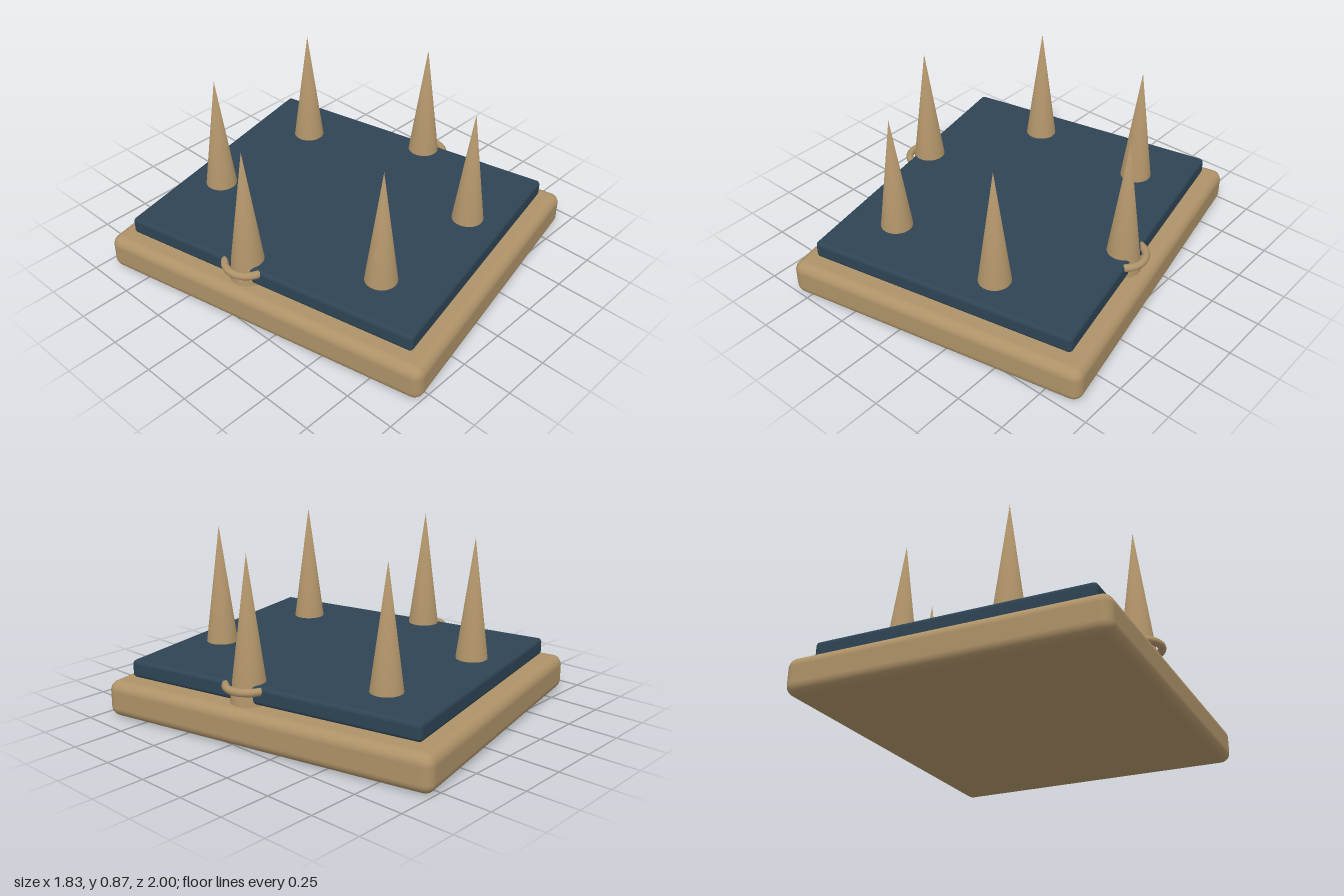
import * as THREE from 'three';
import { mergeVertices } from 'three/addons/utils/BufferGeometryUtils.js';
import { RoundedBoxGeometry } from 'three/addons/geometries/RoundedBoxGeometry.js';

export function createModel() {
  const group = new THREE.Group();
  const wood = new THREE.MeshStandardMaterial({ name: 'tan wood', color: 0xae9268 });
  const cloth = new THREE.MeshStandardMaterial({ name: 'dark blue', color: 0x2e4454 });

  const add = (name, geometry, material, x, y, z, parent = group) => {
    const mesh = new THREE.Mesh(geometry, material);
    mesh.name = name;
    mesh.position.set(x, y, z);
    parent.add(mesh);
    return mesh;
  };

  // Thick rounded base and thinner pad, turned together
  const slabs = new THREE.Group();
  slabs.name = 'slabs';
  slabs.rotation.y = 0.2;
  group.add(slabs);
  add('base', new RoundedBoxGeometry(1.536, 0.18, 1.747, 5, 0.05), wood, 0, 0.09, 0, slabs);
  add('pad', new RoundedBoxGeometry(1.363, 0.087, 1.567, 4, 0.02), cloth, 0, 0.2335, 0, slabs);

  // Spike with one shared tip vertex, so its shading rounds off at the point
  let spike = new THREE.ConeGeometry(0.091, 0.69, 32, 1, true);
  spike.deleteAttribute('uv');
  spike.deleteAttribute('normal');
  spike = mergeVertices(spike);
  spike.computeVertexNormals();

  const ring = new THREE.TorusGeometry(0.108, 0.019, 12, 40).rotateX(Math.PI / 2);

  for (const side of [-1, 1]) {
    const label = side > 0 ? 'left' : 'right';
    for (const [place, x, z] of [['Front', 0.317, 0.55], ['Back', 0.317, -0.55], ['Middle', 0.635, 0]]) {
      add(label + place + 'Spike', spike, wood, side * x, 0.525, z);
    }
    // Ring round the foot of each middle spike
    add(label + 'Ring', ring, wood, side * 0.635, 0.257, 0);
  }
  return group;
}
